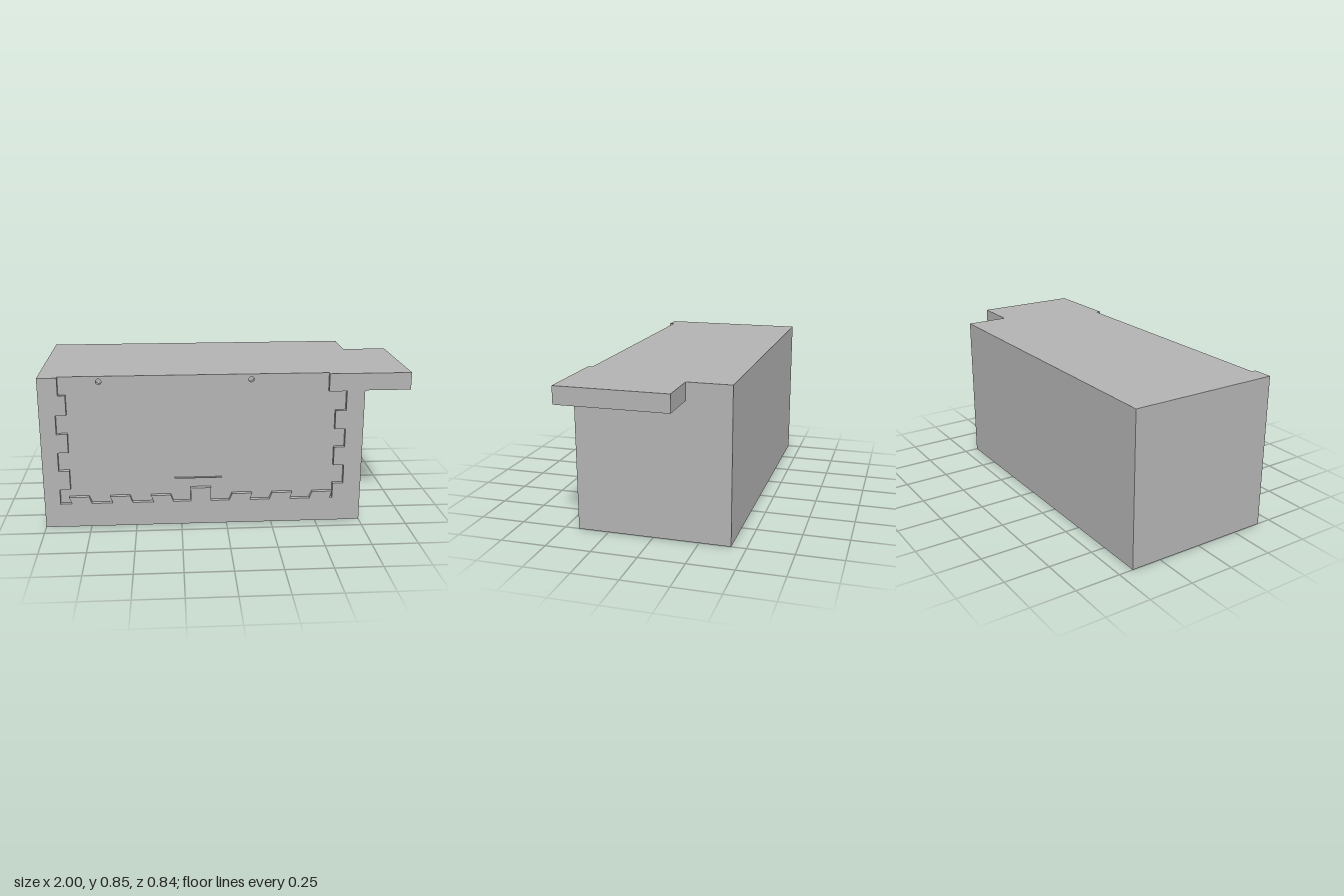
import * as THREE from 'three';

const LEFT = -1, RIGHT = 0.75, TOP = 0.85, BACK = -0.42, FRONT = 0.42;
const PANEL_Z = 0.395, CORE_Z = 0.37, POCKET = 0.02;

export function createModel() {
  const model = new THREE.Group();
  model.name = 'chest';
  const grey = new THREE.MeshStandardMaterial({ color: 0xb3b3b3 });
  grey.name = 'light grey';

  const add = (name, geometry) => {
    const mesh = new THREE.Mesh(geometry, grey);
    mesh.name = name;
    model.add(mesh);
  };
  const addBox = (name, x0, x1, y0, y1, z0, z1) => {
    const g = new THREE.BoxGeometry(x1 - x0, y1 - y0, z1 - z0);
    add(name, g.translate((x0 + x1) / 2, (y0 + y1) / 2, (z0 + z1) / 2));
  };
  const polygon = (points) => new THREE.Shape(points.map(([x, y]) => new THREE.Vector2(x, y)));
  const rect = (x0, x1, y0, y1) => polygon([[x0, y0], [x1, y0], [x1, y1], [x0, y1]]);
  const extrude = (shape, depth) =>
    new THREE.ExtrudeGeometry(shape, { depth, bevelEnabled: false, curveSegments: 12 });

  // Main block above the underside plate
  addBox('body', LEFT, RIGHT, POCKET, TOP, BACK, CORE_Z);

  // Underside plate with four long shallow pockets
  const base = rect(LEFT, RIGHT, BACK, CORE_Z);
  for (const [x0, x1] of [[0.31, 0.6], [-0.075, 0.245], [-0.49, -0.17], [-0.88, -0.59]]) {
    base.holes.push(rect(x0, x1, BACK + 0.005, 0.335));
  }
  add('underside', extrude(base, POCKET).rotateX(Math.PI / 2).translate(0, POCKET, 0));

  // Sunken front panel with two small round holes
  const panel = rect(LEFT, RIGHT, 0, TOP);
  for (const x of [-0.68, 0.135]) {
    panel.holes.push(new THREE.Path().absarc(x, 0.82, 0.015, 0, Math.PI * 2, true));
  }
  add('frontPanel', extrude(panel, PANEL_Z - CORE_Z).translate(0, 0, CORE_Z));

  // Raised front frame with square side teeth and slanted bottom teeth
  const low = 0.135, high = 0.173;
  const levels = [0.22, 0.328, 0.433, 0.538, 0.643, 0.752];
  const outline = [[-0.895, TOP], [LEFT, TOP], [LEFT, 0], [RIGHT, 0], [RIGHT, 0.755],
    [1, 0.755], [1, TOP], [0.555, TOP], [0.555, 0.752]];
  // Right side, downwards
  for (let i = levels.length - 1; i > 0; i -= 2) {
    outline.push([0.652, levels[i]], [0.652, levels[i - 1]], [0.594, levels[i - 1]]);
    if (i > 1) outline.push([0.594, levels[i - 2]]);
  }
  outline.push([0.594, low]);
  // Bottom edge, right to left, with a taller square tab in the middle
  for (const x of [0.465, 0.24, 0.016]) {
    outline.push([x + 0.115, low], [x + 0.127, high], [x + 0.016, high], [x, low]);
  }
  outline.push([-0.086, low], [-0.086, 0.212], [-0.198, 0.212], [-0.198, low]);
  for (const x of [-0.294, -0.519, -0.743]) {
    outline.push([x, low], [x - 0.014, high], [x - 0.123, high], [x - 0.109, low]);
  }
  outline.push([-0.914, low]);
  // Left side, upwards
  for (let i = 0; i < levels.length; i += 2) {
    outline.push([-0.914, levels[i]], [-0.856, levels[i]], [-0.856, levels[i + 1]]);
    outline.push([i + 2 < levels.length ? -0.914 : -0.895, levels[i + 1]]);
  }
  add('frontFrame', extrude(polygon(outline), FRONT - PANEL_Z).translate(0, 0, PANEL_Z));

  // Side ledge, its front end being part of the frame
  addBox('sideLedge', RIGHT, 1, 0.755, TOP, -0.18, PANEL_Z);

  // Thin strip on the front panel
  addBox('strip', -0.285, -0.025, 0.265, 0.269, PANEL_Z, 0.408);

  return model;
}
